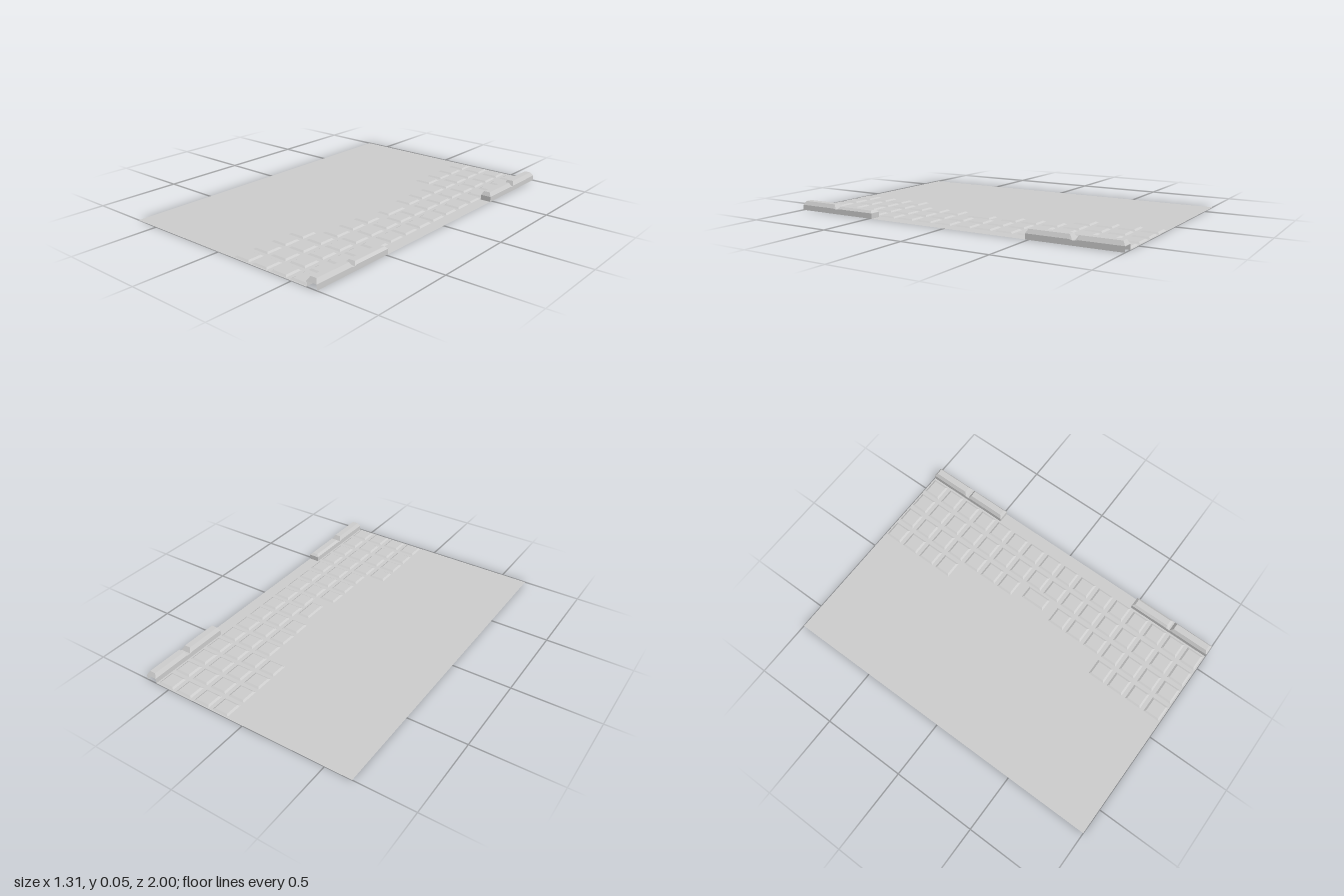
import * as THREE from 'three';

const material = new THREE.MeshStandardMaterial({ color: 0xcccccc, flatShading: true, side: THREE.DoubleSide });

// Skin a list of equally long point rings
function loft(rings, closed) {
  const n = rings[0].length, index = [];
  for (let i = 0; i < rings.length - 1; i++) {
    for (let j = 0; j < (closed ? n : n - 1); j++) {
      const k = (j + 1) % n;
      const a = i * n + j, b = i * n + k, c = b + n, d = a + n;
      index.push(a, b, c, a, c, d);
    }
  }
  const geometry = new THREE.BufferGeometry();
  geometry.setAttribute('position', new THREE.Float32BufferAttribute(rings.flat(2), 3));
  geometry.setIndex(index);
  const flat = geometry.toNonIndexed();
  flat.computeVertexNormals();
  return flat;
}

function add(parent, name, geometry) {
  const mesh = new THREE.Mesh(geometry, material);
  mesh.name = name;
  parent.add(mesh);
  return mesh;
}

// Low bevelled tile without an underside
function tileGeometry(w, d, h = 0.007, bevel = 0.011) {
  const ring = (x, z, y) => [[-x, y, z], [x, y, z], [x, y, -z], [-x, y, -z]];
  return loft([
    ring(w / 2, d / 2, 0),
    ring(w / 2 - bevel, d / 2 - bevel, h),
    ring(0, 0, h),
  ], true);
}

const X0 = 0.592, X1 = 0.655, WALL = 0.03, INSET = 0.013;

// Cross-section of the hollow ridge: walls, sloping sides and a flat top
function ridgeSection([z, h]) {
  const wall = Math.min(WALL, h);
  const inset = h > WALL ? INSET : 0;
  return [[X0, 0, z], [X0, wall, z], [X0 + inset, h, z], [X1 - inset, h, z], [X1, wall, z], [X1, 0, z]];
}

const endCap = (z) => Array.from({ length: 6 }, () => [(X0 + X1) / 2, 0, z]);

export function createModel() {
  const model = new THREE.Group();
  model.name = 'tiledPanel';

  // Flat sheet, notched where the two ridges stand
  const outline = new THREE.Shape([
    [-X1, -1], [X0, -1], [X0, -0.485], [X1, -0.485],
    [X1, 0.485], [X0, 0.485], [X0, 1], [-X1, 1],
  ].map(([x, y]) => new THREE.Vector2(x, y)));
  add(model, 'basePanel', new THREE.ShapeGeometry(outline).rotateX(-Math.PI / 2));

  // Tile grid: four columns, the inner ones interrupted around the middle
  const tiles = new THREE.Group();
  tiles.name = 'tiles';
  model.add(tiles);
  const square = tileGeometry(0.102, 0.102);
  const columns = [
    { x: 0.155, gap: [4, 11] },
    { x: 0.28, gap: [7, 8] },
    { x: 0.406, gap: null },
    { x: 0.531, gap: null },
  ];
  for (const { x, gap } of columns) {
    for (let row = 0; row < 16; row++) {
      if (gap && row >= gap[0] && row <= gap[1]) continue;
      add(tiles, 'squareTile', square).position.set(x, 0, (row - 7.5) * 0.1255);
    }
  }
  add(tiles, 'longTile', tileGeometry(0.081, 0.15)).position.set(0.302, 0, -0.003);

  // Hollow ridges, open at the outer ends and closed at the inner ends
  const front = [
    [1, 0.03], [0.985, 0.052], [0.765, 0.052], [0.748, 0.026],
    [0.738, 0.026], [0.722, 0.043], [0.5, 0.043], [0.485, 0.03],
  ];
  const back = [
    [-0.482, 0.03], [-0.495, 0.052], [-0.718, 0.052], [-0.735, 0.026],
    [-0.75, 0.026], [-0.765, 0.052], [-0.985, 0.052], [-1, 0.03],
  ];
  add(model, 'frontRidge', loft([...front.map(ridgeSection), endCap(0.485)], false));
  add(model, 'backRidge', loft([endCap(-0.482), ...back.map(ridgeSection)], false));

  return model;
}
